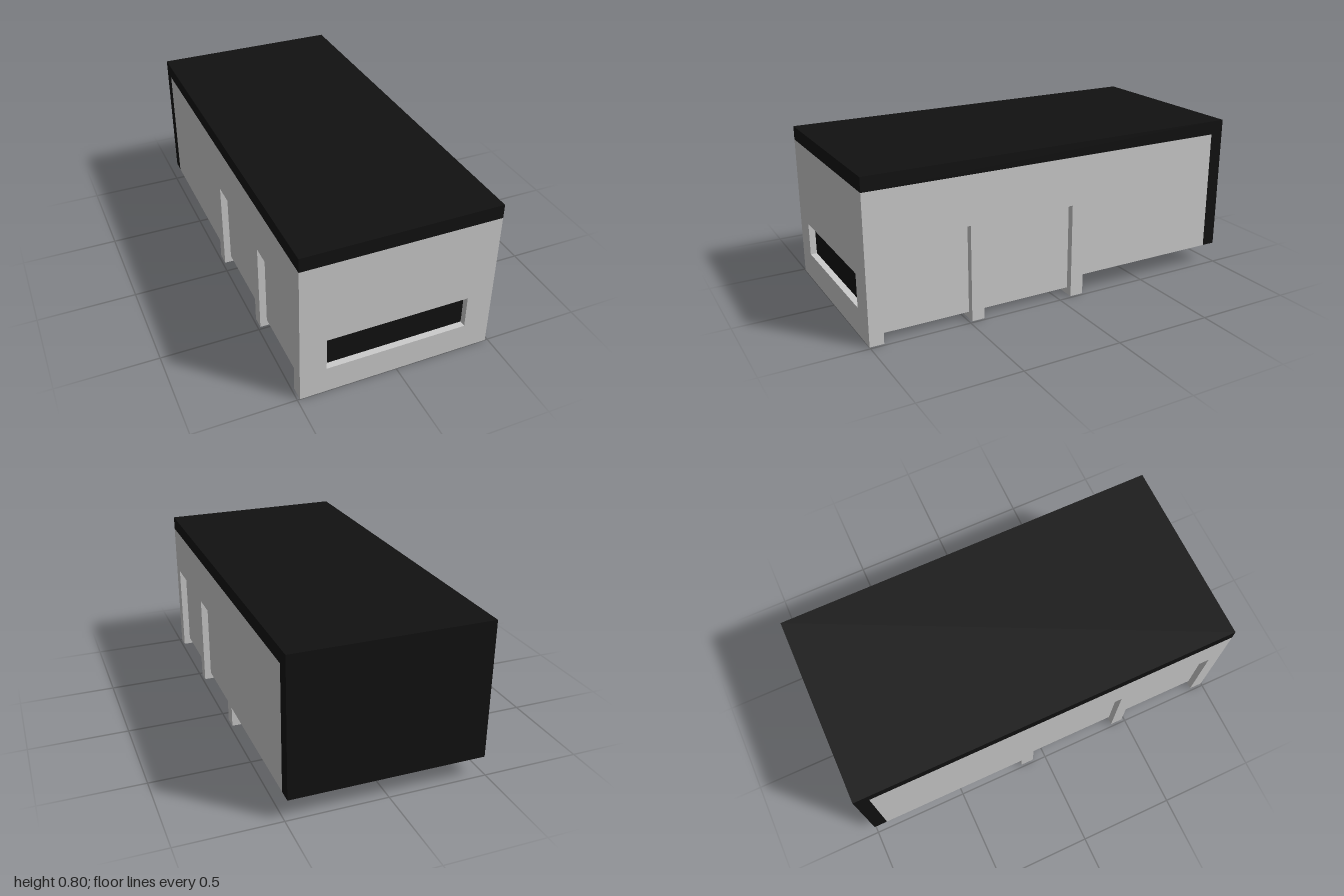
import * as THREE from 'three';

const HALF = 0.487;    // half width
const INSET = 0.035;   // depth of door and slot recesses
const EAVE = 0.73;     // underside of roof
const TOP = 0.8;
const REAR_Y = 0.105;  // raised underside at the rear
const BACK = -0.93;    // inner face of back panel
const FACE = 1 - INSET;

const grey = new THREE.MeshStandardMaterial({ color: 0xcccccc, flatShading: true });
const black = new THREE.MeshStandardMaterial({ color: 0x111111, flatShading: true });

function add(group, name, geometry, material) {
  const mesh = new THREE.Mesh(geometry, material);
  mesh.name = name;
  group.add(mesh);
  return mesh;
}

function box(group, name, material, x0, x1, y0, y1, z0, z1) {
  const mesh = add(group, name, new THREE.BoxGeometry(x1 - x0, y1 - y0, z1 - z0), material);
  mesh.position.set((x0 + x1) / 2, (y0 + y1) / 2, (z0 + z1) / 2);
}

// Side silhouette (z, y) with two notches, cut up to height notchY, between the feet
function sideSlab(notchY, x0, x1) {
  const profile = [
    [BACK, REAR_Y], [-0.14, REAR_Y], [-0.14, 0],
    [-0.07, 0], [-0.07, notchY], [0.42, notchY], [0.42, 0],
    [0.485, 0], [0.485, notchY], [0.93, notchY], [0.93, 0],
    [FACE, 0], [FACE, EAVE], [BACK, EAVE],
  ];
  const shape = new THREE.Shape(profile.map(([z, y]) => new THREE.Vector2(z, y)));
  const geometry = new THREE.ExtrudeGeometry(shape, { depth: x1 - x0, bevelEnabled: false });
  return geometry.rotateY(-Math.PI / 2).translate(x1, 0, 0);
}

export function createModel() {
  const model = new THREE.Group();
  model.name = 'building';

  // Core: door panels, floor and cross beams underneath
  add(model, 'core', sideSlab(INSET, -HALF + INSET, HALF - INSET), grey);

  // Outer walls with the door openings
  add(model, 'leftWall', sideSlab(0.485, HALF - INSET, HALF), grey);
  add(model, 'rightWall', sideSlab(0.485, -HALF, -HALF + INSET), grey);

  // Front wall with a long slot
  const front = new THREE.Shape([
    new THREE.Vector2(-HALF, 0), new THREE.Vector2(HALF, 0),
    new THREE.Vector2(HALF, EAVE), new THREE.Vector2(-HALF, EAVE),
  ]);
  front.holes.push(new THREE.Path([
    new THREE.Vector2(-0.357, 0.14), new THREE.Vector2(-0.357, 0.31),
    new THREE.Vector2(0.355, 0.31), new THREE.Vector2(0.355, 0.14),
  ]));
  const frontGeometry = new THREE.ExtrudeGeometry(front, { depth: INSET, bevelEnabled: false });
  add(model, 'frontWall', frontGeometry.translate(0, 0, FACE), grey);

  // Dark panel at the bottom of the slot
  box(model, 'slotPanel', black, -0.357, 0.355, 0.14, 0.31, FACE - 0.02, FACE + 0.002);

  // Roof and back panel
  box(model, 'roof', black, -HALF, HALF, EAVE, TOP, -1, 1);
  box(model, 'backPanel', black, -HALF, HALF, REAR_Y, EAVE, -1, BACK);

  return model;
}
